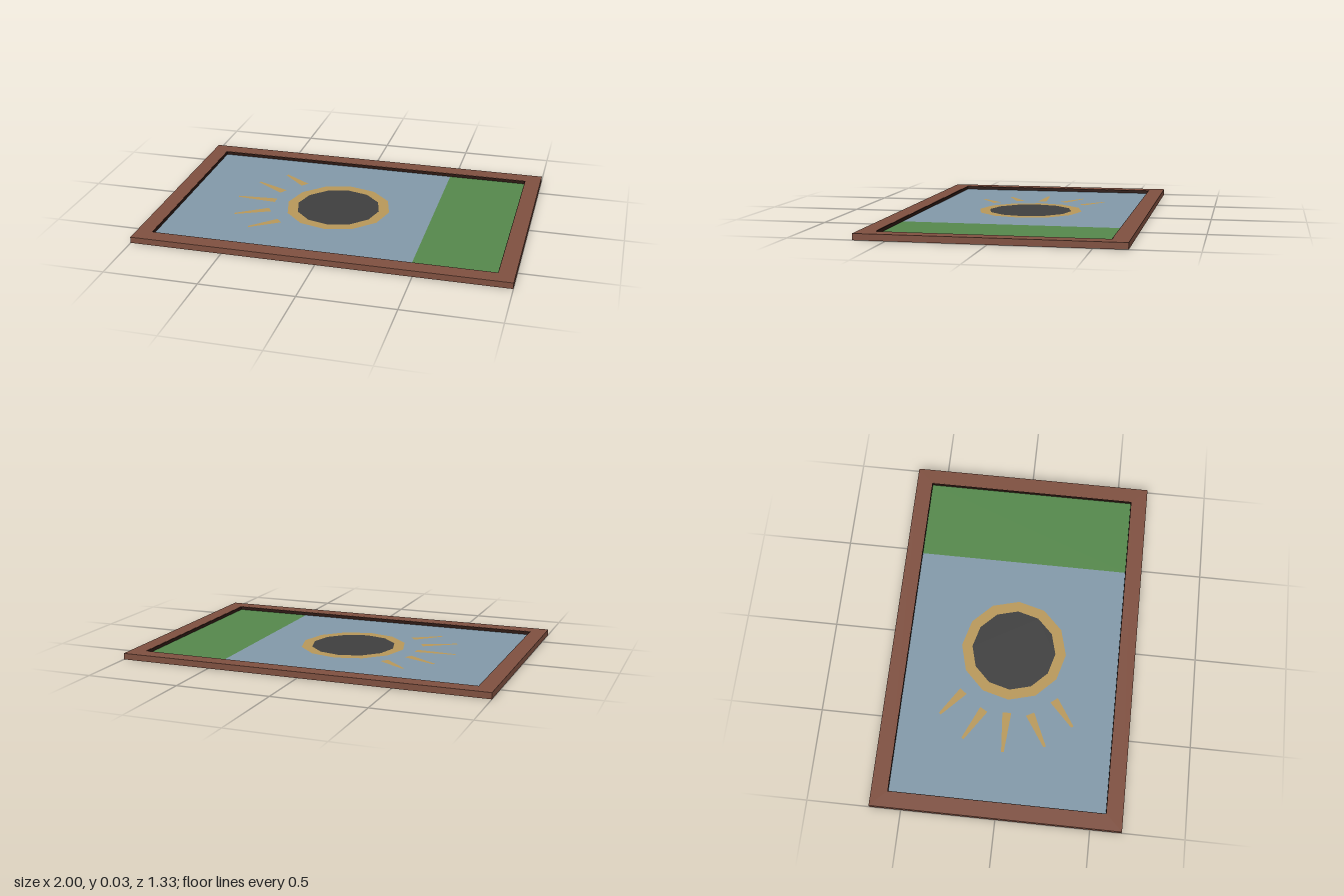
import * as THREE from 'three';

const mat = (name, color, extra) => {
  const m = new THREE.MeshStandardMaterial({ color });
  m.name = name;
  return m;
};

export function createModel() {
  const wood = mat('brown wood', 0x7f5040);
  const liner = mat('dark liner', 0x2c1812);
  const sky = mat('grey blue', 0x8299a9);
  const grass = mat('green', 0x55884c);
  const gold = mat('gold', 0xb8985a);
  const dark = mat('charcoal', 0x3f3f3f);

  const group = new THREE.Group();
  group.name = 'framedPanel';
  const W = 1, D = 0.667, H = 0.033; // outer half sizes and height
  const w = 0.915, d = 0.58;         // opening half sizes
  const base = 0.01, floor = 0.015;

  const add = (name, geometry, material, x = 0, y = 0, z = 0) => {
    const mesh = new THREE.Mesh(geometry, material);
    mesh.name = name;
    mesh.position.set(x, y, z);
    group.add(mesh);
    return mesh;
  };
  const polygon = (pts) => new THREE.Shape(pts.map(([x, z]) => new THREE.Vector2(x, -z)));
  const rect = (a, b) => [[-a, -b], [-a, b], [a, b], [a, -b]];
  const circle = (r) => Array.from({ length: 12 }, (_, i) => {
    const t = (i / 12) * Math.PI * 2;
    return [r * Math.cos(t), r * Math.sin(t)];
  });
  // flat upward-facing shape
  const flat = (shape) => new THREE.ShapeGeometry(shape).rotateX(-Math.PI / 2);

  // backing board and raised rim
  add('backing', new THREE.BoxGeometry(2 * W, base, 2 * D), wood, 0, base / 2);
  const rim = polygon(rect(W, D));
  rim.holes.push(polygon(rect(w, d)));
  add('frame', new THREE.ExtrudeGeometry(rim, { depth: H - base, bevelEnabled: false })
    .rotateX(-Math.PI / 2), wood, 0, base);

  // dark strips lining the opening
  const t = 0.003, lh = H - base - 0.001;
  for (const s of [-1, 1]) {
    add('linerSide', new THREE.BoxGeometry(t, lh, 2 * d), liner, s * (w - t / 2), base + lh / 2);
    add('linerEnd', new THREE.BoxGeometry(2 * w, lh, t), liner, 0, base + lh / 2, s * (d - t / 2));
  }

  // picture fields
  const split = 0.475;
  const field = (name, x0, x1, material) =>
    add(name, new THREE.BoxGeometry(x1 - x0, floor - base, 2 * d), material, (x0 + x1) / 2, (floor + base) / 2);
  field('skyField', -w, split, sky);
  field('grassField', split, w, grass);

  // twelve-sided disc with a gold ring
  const cx = -0.053, art = floor + 0.001;
  const ring = polygon(circle(0.288));
  ring.holes.push(polygon(circle(0.23)));
  add('ring', flat(ring), gold, cx, art);
  add('disc', flat(polygon(circle(0.23))), dark, cx, art);

  // tapering rays: base x, z then tip x, z
  const ray = (bx, bz, tx, tz) => {
    const len = Math.hypot(tx - bx, tz - bz);
    const nx = -(tz - bz) / len, nz = (tx - bx) / len;
    const a = 0.024, b = 0.007;
    add('ray', flat(polygon([
      [bx + nx * a, bz + nz * a], [tx + nx * b, tz + nz * b],
      [tx - nx * b, tz - nz * b], [bx - nx * a, bz - nz * a],
    ])), gold, 0, art);
  };
  ray(-0.415, 0, -0.635, 0);
  for (const s of [-1, 1]) {
    ray(-0.41, s * 0.126, -0.583, s * 0.222);
    ray(-0.318, s * 0.248, -0.458, s * 0.36);
  }
  return group;
}
